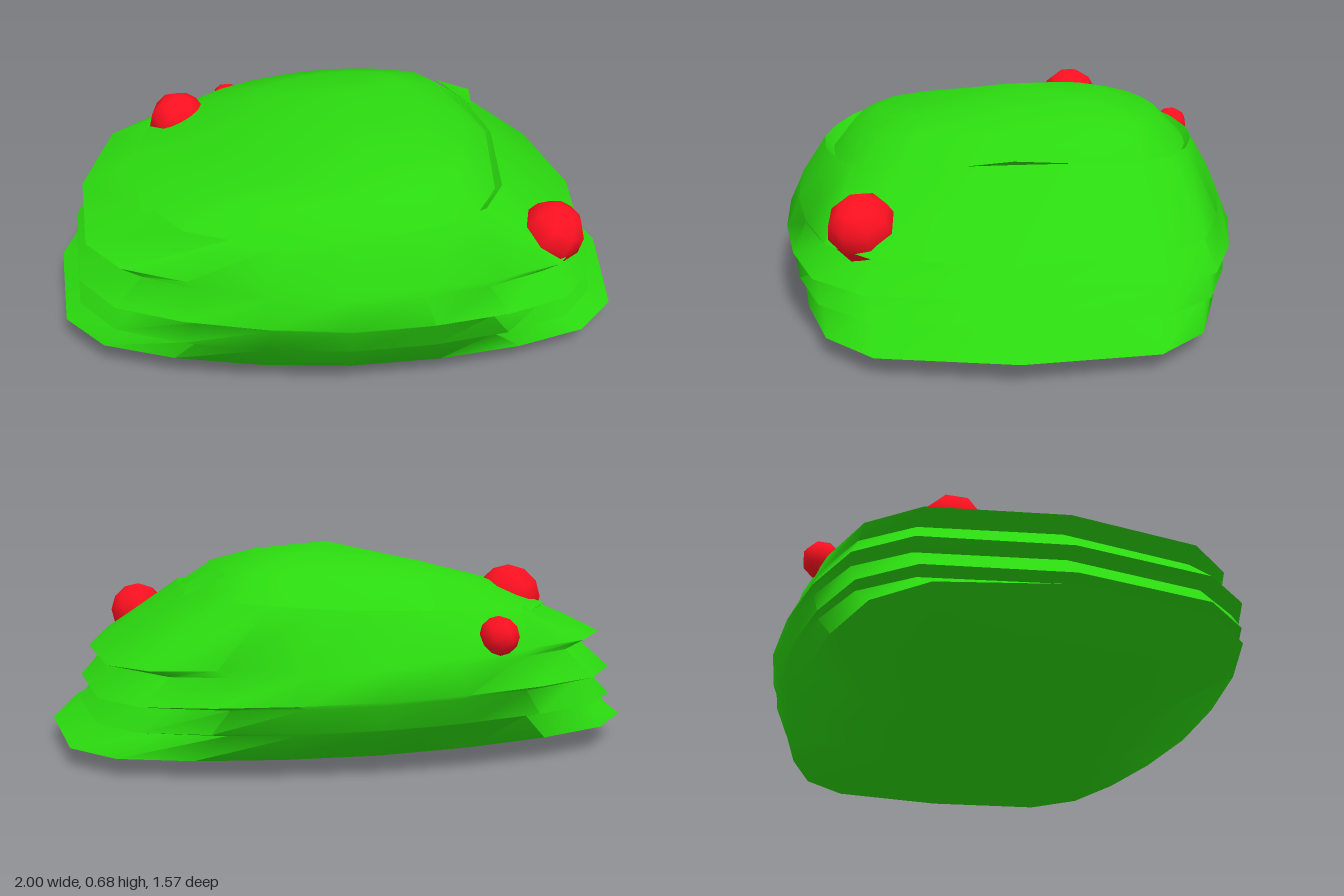
import * as THREE from 'three';
import { toCreasedNormals } from 'three/addons/utils/BufferGeometryUtils.js';

// One quarter of the unit outline: pointed sides, rounded corners, broad front and back
const QUARTER = [[1, 0], [0.93, 0.58], [0.79, 0.79], [0.56, 0.9], [0.29, 0.97]];
const OUTLINE = [
  ...QUARTER,
  [0, 1],
  ...QUARTER.slice(1).reverse().map(([x, z]) => [-x, z]),
  ...QUARTER.map(([x, z]) => [-x, -z]),
  [0, -1],
  ...QUARTER.slice(1).reverse().map(([x, z]) => [x, -z]),
];

// Lofts rings of [xMin, xMax, zMin, zMax, yLeftEnd, yRightEnd, sag, frontDrop] from bottom to top
function loft(rings, bottom, top) {
  const n = OUTLINE.length;
  const pos = [];
  const index = [];
  for (const [x0, x1, z0, z1, y0, y1, sag = 0, drop = 0] of rings) {
    for (const [u, v] of OUTLINE) {
      const y = y0 + (y1 - y0) * (u + 1) / 2 - sag * Math.abs(v) - drop * v;
      pos.push(u < 0 ? -u * x0 : u * x1, y, v < 0 ? -v * z0 : v * z1);
    }
  }
  const last = (rings.length - 1) * n;
  const capBottom = rings.length * n;
  pos.push(...bottom, ...top);
  for (let j = 0; j < n; j++) {
    const k = (j + 1) % n;
    for (let r = 0; r < last; r += n) {
      index.push(r + j, r + n + j, r + k, r + k, r + n + j, r + n + k);
    }
    index.push(j, k, capBottom, last + j, capBottom + 1, last + k);
  }
  const geo = new THREE.BufferGeometry();
  geo.setAttribute('position', new THREE.Float32BufferAttribute(pos, 3));
  geo.setIndex(index);
  return toCreasedNormals(geo, 1.3);
}

export function createModel() {
  const group = new THREE.Group();
  const leaf = new THREE.MeshStandardMaterial({ color: 0x2bd90f });
  const red = new THREE.MeshStandardMaterial({ color: 0xff1020 });

  const add = (name, geo, mat) => {
    const mesh = new THREE.Mesh(geo, mat);
    mesh.name = name;
    group.add(mesh);
    return mesh;
  };

  // Foliage: a shallow underside, then pointed rims alternating with recesses; the last rim cups the crown
  add('foliage', loft([
    [-0.37, 0.40, -0.38, 0.43, 0.00, 0.02],
    [-1.00, 1.00, -0.72, 0.73, 0.10, 0.07, 0.015, -0.005],
    [-0.86, 0.83, -0.755, 0.755, 0.175, 0.14, 0.01],
    [-0.94, 0.91, -0.765, 0.765, 0.17, 0.14],
    [-0.85, 0.81, -0.775, 0.775, 0.26, 0.22, 0.01],
    [-0.93, 0.90, -0.785, 0.785, 0.265, 0.22],
    [-0.82, 0.79, -0.75, 0.745, 0.365, 0.31, 0.01],
    [-0.90, 0.87, -0.74, 0.735, 0.385, 0.32],
    [-0.66, 0.57, -0.655, 0.65, 0.485, 0.535, 0.02, 0.01],
    [-0.60, 0.50, -0.60, 0.59, 0.45, 0.47, 0.03, 0.01],
  ], [0, 0.01, 0], [0, 0.43, 0]), leaf);

  // Crown: pointed to one side, with a softly domed top that dips at the corners and front
  add('crown', loft([
    [-0.66, 0.50, -0.60, 0.58, 0.465, 0.49, 0.06, 0.01],
    [-0.71, 0.55, -0.64, 0.62, 0.50, 0.54, 0.06, 0.015],
    [-0.51, 0.45, -0.53, 0.54, 0.55, 0.605, 0.01, 0.02],
    [-0.30, 0.29, -0.36, 0.46, 0.60, 0.65, 0.015, 0.03],
  ], [0, 0.43, 0], [0.04, 0.677, -0.05]), leaf);

  // Small loose leaf lying on the steep side of the crown
  const flap = new THREE.BufferGeometry();
  flap.setAttribute('position', new THREE.Float32BufferAttribute([
    0.43, 0.59, -0.38, 0.45, 0.61, -0.25, 0.54, 0.55, -0.21, 0.57, 0.53, -0.42,
  ], 3));
  flap.setIndex([0, 1, 2, 0, 2, 3]);
  flap.computeVertexNormals();
  const flapLeaf = leaf.clone();
  flapLeaf.side = THREE.DoubleSide;
  add('looseLeaf', flap, flapLeaf);

  // Berries: x, y, z, radius
  const berries = [
    [0.685, 0.38, 0.465, 0.108],
    [-0.565, 0.495, -0.285, 0.108],
    [-0.39, 0.415, -0.675, 0.063],
  ];
  berries.forEach(([x, y, z, r], i) => {
    const berry = add('berry' + (i + 1), new THREE.SphereGeometry(r, 8, 6), red);
    berry.position.set(x, y, z);
    berry.rotation.set(0.3, 0.2, -0.5);
  });
  return group;
}
